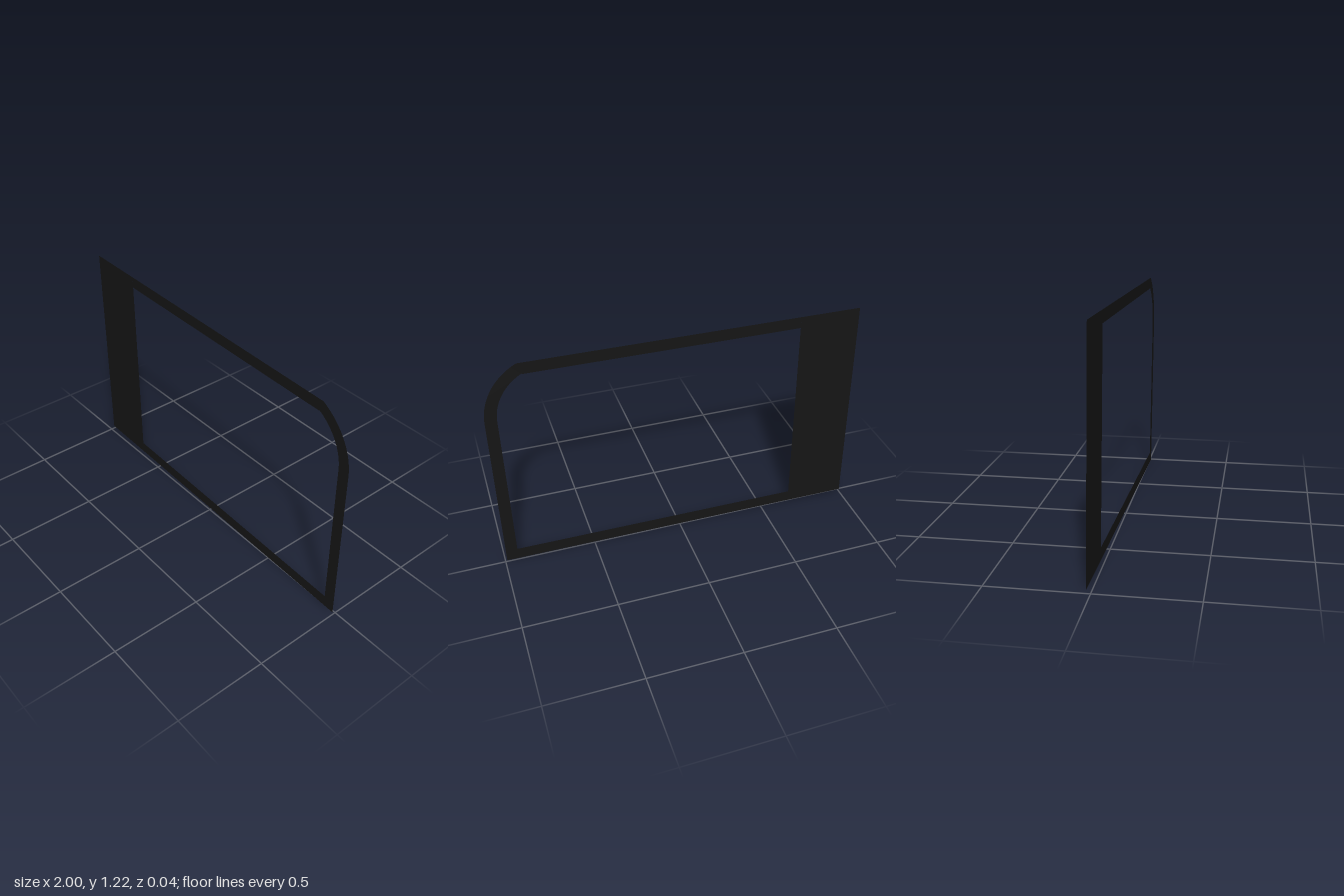
import * as THREE from 'three';

const black = new THREE.MeshStandardMaterial({ color: 0x151515, side: THREE.DoubleSide });

// Flat sheet cut from a shape, laid on the slightly leaning glass plane
function sheet(name, shape) {
  const geometry = new THREE.ShapeGeometry(shape, 16);
  const p = geometry.attributes.position;
  for (let i = 0; i < p.count; i++) {
    p.setZ(i, -0.006 + 0.015 * p.getX(i) + 0.013 * p.getY(i));
  }
  geometry.computeVertexNormals();
  const mesh = new THREE.Mesh(geometry, black);
  mesh.name = name;
  return mesh;
}

export function createModel() {
  const group = new THREE.Group();
  group.name = 'windowSurround';

  // Wide pillar panel on one side
  const panel = new THREE.Shape();
  panel.moveTo(-1, 0.016);
  panel.lineTo(-0.667, 0.014);
  panel.lineTo(-0.66, 1.22);
  panel.lineTo(-0.992, 1.222);
  group.add(sheet('pillarPanel', panel));

  // Narrow border round the opening, with one rounded upper corner
  const cx = 0.655, cy = 0.905;
  const border = new THREE.Shape();
  border.moveTo(-0.667, 0.014);
  border.lineTo(0.99, 0);
  border.lineTo(0.997, cy);
  border.absarc(cx, cy, 0.342, 0, 1.1, false);
  border.lineTo(-0.66, 1.22);
  border.lineTo(-0.66, 1.157);
  border.lineTo(0.79, 1.147);
  border.absarc(cx, cy, 0.28, 1.067, 0, true);
  border.lineTo(0.928, 0.066);
  border.lineTo(-0.667, 0.078);
  group.add(sheet('windowBorder', border));

  return group;
}
